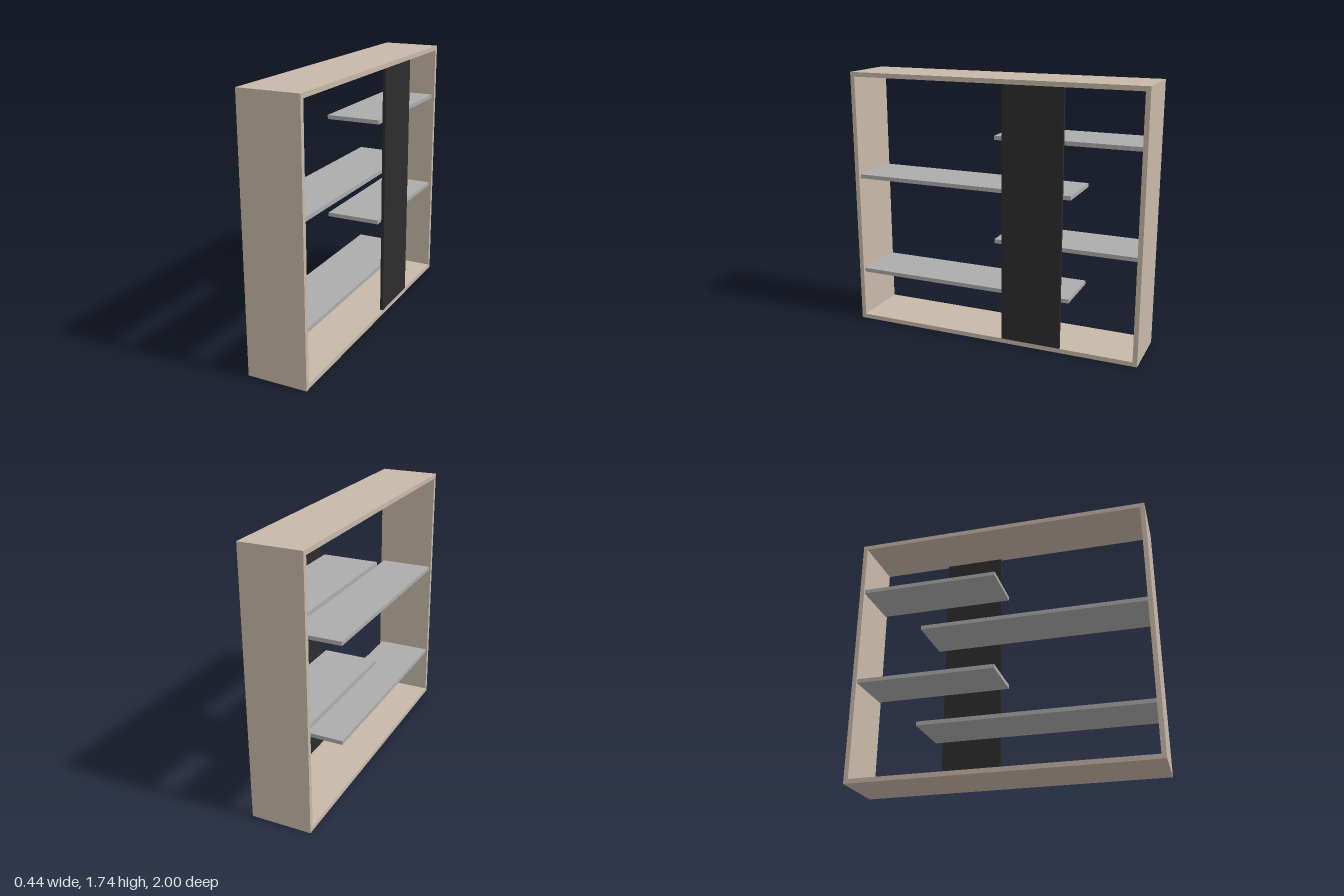
import * as THREE from 'three';

export function createModel() {
  const model = new THREE.Group();
  model.name = 'bookcase';

  const material = (name, color) => {
    const m = new THREE.MeshStandardMaterial({ color });
    m.name = name;
    return m;
  };
  const wood = material('paleWood', 0xc8b9a9);
  const grey = material('greyShelf', 0xacacac);
  const black = material('blackPanel', 0x2c2c2c);

  // Box given by its limits along each axis
  const box = (name, mat, [x0, x1], [y0, y1], [z0, z1]) => {
    const mesh = new THREE.Mesh(new THREE.BoxGeometry(x1 - x0, y1 - y0, z1 - z0), mat);
    mesh.position.set((x0 + x1) / 2, (y0 + y1) / 2, (z0 + z1) / 2);
    mesh.name = name;
    model.add(mesh);
  };

  const H = 1.738, L = 0.996, D = 0.198, T = 0.03;
  const inner = L - T;

  // Outer frame: top and bottom boards between two end boards
  box('bottomBoard', wood, [-D, D], [0, T], [-inner, inner]);
  box('topBoard', wood, [-D, D], [H - T, H], [-inner, inner]);
  box('frontEndBoard', wood, [-D, D], [0, H], [inner, L]);
  box('backEndBoard', wood, [-D, D], [0, H], [-L, -inner]);

  // Upright panel, flush with the open side
  const panelBack = D - 0.02;
  box('uprightPanel', black, [panelBack, D], [T, H - T], [-0.484, -0.084]);

  // Shelves alternate: long ones from one end, short ones from the other
  for (let i = 0; i < 4; i++) {
    const y = 0.357 + i * 0.338;
    const long = i % 2 === 0;
    box(long ? 'longShelf' : 'shortShelf', grey, [-0.187, panelBack],
      [y - 0.0135, y + 0.0135], long ? [-0.533, inner] : [-inner, -0.025]);
  }

  // The whole case stands very slightly turned
  model.rotation.y = 0.02;
  const group = new THREE.Group();
  group.name = 'shelvingUnit';
  group.add(model);
  return group;
}
